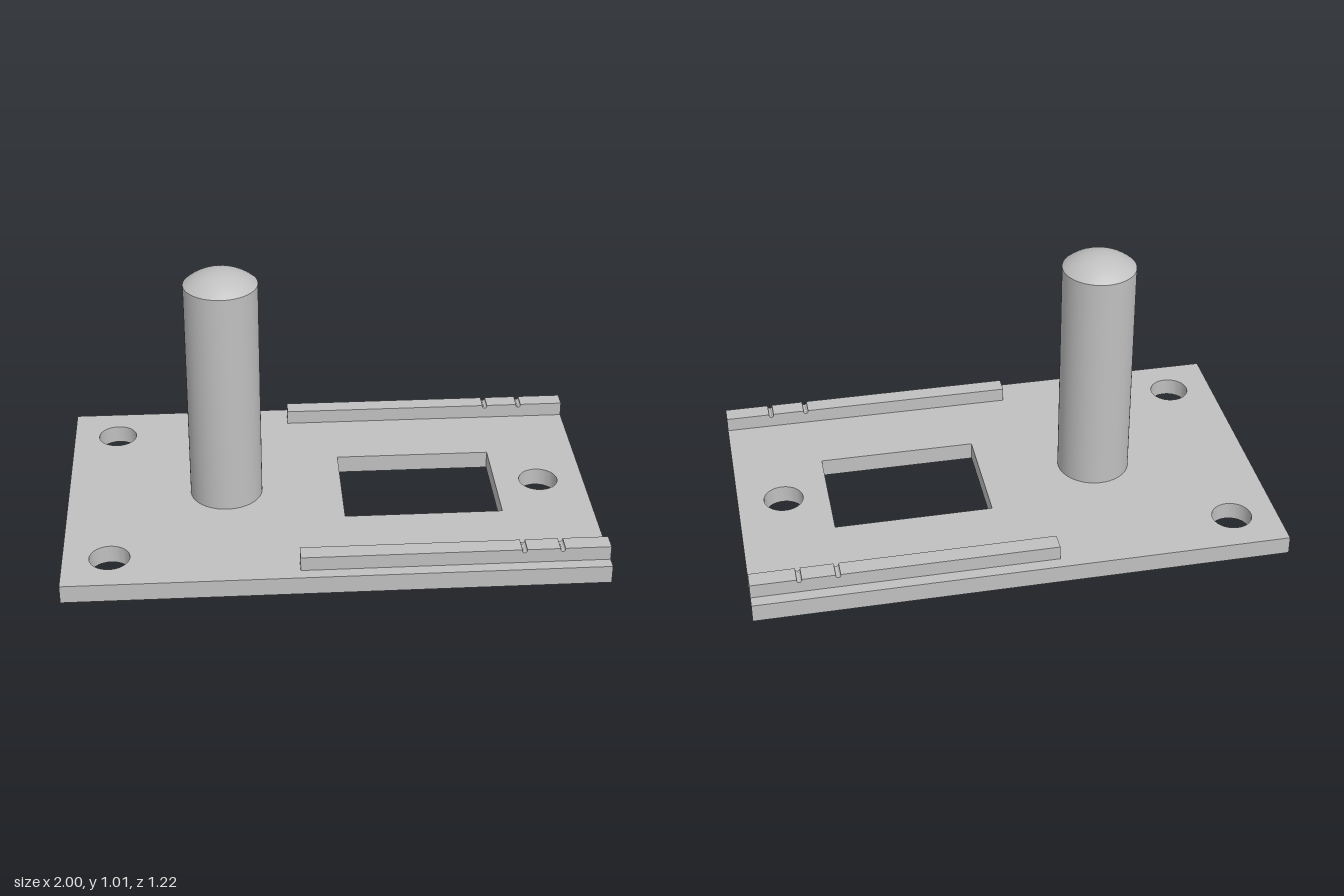
import * as THREE from 'three';
import { toCreasedNormals } from 'three/addons/utils/BufferGeometryUtils.js';

const PLATE_TOP = 0.07;

// Extruded solid with smooth curves and sharp edges
function extrude(shape, depth) {
  const geometry = new THREE.ExtrudeGeometry(shape, { depth, bevelEnabled: false, curveSegments: 24 });
  return toCreasedNormals(geometry, 0.5);
}

function polygon(points, Type = THREE.Shape) {
  return new Type(points.map(([x, y]) => new THREE.Vector2(x, y)));
}

function rectangle(x0, x1, halfDepth, Type) {
  return polygon([[x0, -halfDepth], [x1, -halfDepth], [x1, halfDepth], [x0, halfDepth]], Type);
}

export function createModel() {
  const model = new THREE.Group();
  const grey = new THREE.MeshStandardMaterial({ color: 0xc0c0c0 });
  grey.name = 'grey';

  function add(name, geometry, x = 0, y = 0, z = 0) {
    const mesh = new THREE.Mesh(geometry, grey);
    mesh.name = name;
    mesh.position.set(x, y, z);
    model.add(mesh);
  }

  // Base plate with a rectangular window and three screw holes
  const plate = rectangle(-1, 1, 0.608);
  plate.holes.push(rectangle(0.053, 0.653, 0.215, THREE.Path));
  for (const [x, z] of [[-0.827, 0.436], [-0.827, -0.436], [0.825, 0]]) {
    plate.holes.push(new THREE.Path().absarc(x, z, 0.075, 0, Math.PI * 2, true));
  }
  add('basePlate', extrude(plate, PLATE_TOP).rotateX(-Math.PI / 2));

  // Round post with a shallow domed top
  const radius = 0.138, shoulder = 0.957, rise = 0.053;
  const domeRadius = (radius ** 2 + rise ** 2) / (2 * rise);
  const domeAngle = Math.asin(radius / domeRadius);
  const profile = [new THREE.Vector2(radius, PLATE_TOP)];
  for (let i = 0; i <= 10; i++) {
    const a = domeAngle * (1 - i / 10);
    profile.push(new THREE.Vector2(
      domeRadius * Math.sin(a),
      shoulder + rise - domeRadius * (1 - Math.cos(a)),
    ));
  }
  add('post', toCreasedNormals(new THREE.LatheGeometry(profile, 48), 0.5), -0.392);

  // Side rails with two small rounded notches across the top
  const top = 0.125, notch = 0.009;
  const rail = new THREE.Shape();
  rail.moveTo(-0.133, PLATE_TOP);
  rail.lineTo(1, PLATE_TOP);
  rail.lineTo(1, top);
  for (const x of [0.822, 0.682]) {
    rail.lineTo(x + notch, top);
    rail.absarc(x, top - 0.004, notch, 0, -Math.PI, true);
    rail.lineTo(x - notch, top);
  }
  rail.lineTo(-0.133, top);
  rail.closePath();
  const railGeometry = extrude(rail, 0.067).translate(0, 0, -0.0335);
  add('leftRail', railGeometry, 0, 0, -0.5285);
  add('rightRail', railGeometry, 0, 0, 0.5285);

  return model;
}
